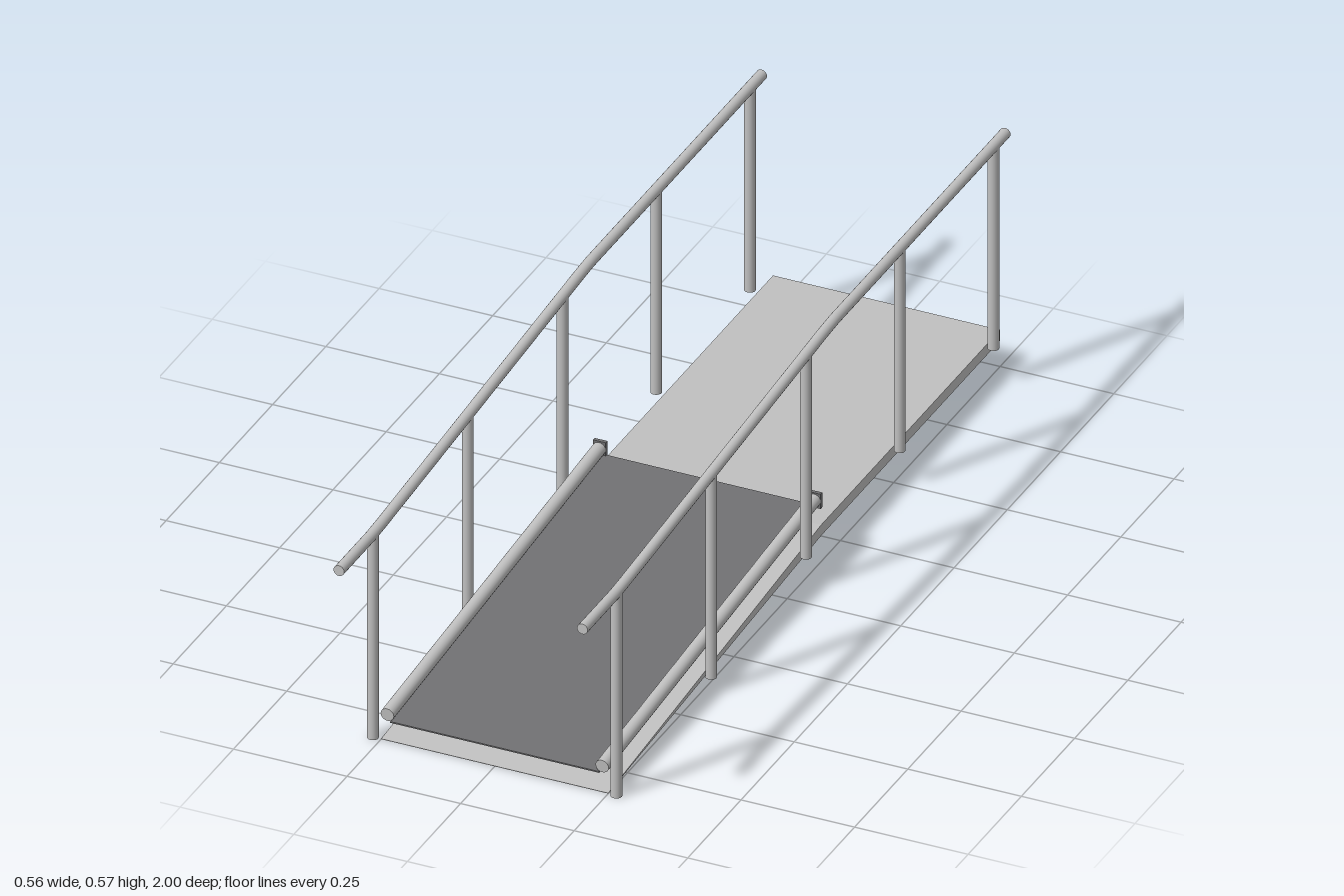
import * as THREE from 'three';

export function createModel() {
  const model = new THREE.Group();
  const metal = new THREE.MeshStandardMaterial({ color: 0xc0c0c0 });
  metal.name = 'light grey metal';
  const rubber = new THREE.MeshStandardMaterial({ color: 0x707072 });
  rubber.name = 'dark grey mat';

  const add = (name, geometry, material) => {
    const mesh = new THREE.Mesh(geometry, material);
    mesh.name = name;
    model.add(mesh);
    return mesh;
  };

  // Side profile of [z, y] points, extruded across the width and centred on x
  const slab = (points, width) => {
    const shape = new THREE.Shape(points.map(([z, y]) => new THREE.Vector2(z, y)));
    return new THREE.ExtrudeGeometry(shape, { depth: width, bevelEnabled: false })
      .translate(0, 0, -width / 2)
      .rotateY(-Math.PI / 2);
  };

  // Round bar between two points
  const bar = (a, b, radius) => {
    const dir = b.clone().sub(a);
    const geometry = new THREE.CylinderGeometry(radius, radius, dir.length(), 20);
    geometry.applyQuaternion(new THREE.Quaternion().setFromUnitVectors(
      new THREE.Vector3(0, 1, 0), dir.clone().normalize()));
    const mid = a.clone().add(b).multiplyScalar(0.5);
    return geometry.translate(mid.x, mid.y, mid.z);
  };

  // Level platform and the wedge-shaped ramp in front of it
  add('platform', slab([[-1, 0.06], [-0.16, 0.06], [-0.16, 0.085], [-1, 0.085]], 0.5), metal);
  add('ramp', slab([[-0.16, 0.06], [0.84, 0], [0.84, 0.001], [-0.16, 0.085]], 0.5), metal);

  // Raised sloping mat
  add('mat', slab([[-0.16, 0.124], [0.84, 0.043], [0.84, 0.046], [-0.16, 0.128]], 0.46), rubber);

  // Height of the handrail along its length: level, sloping, level
  const railPath = [[1, 0.472], [0.85, 0.472], [0.8, 0.475], [-0.13, 0.551], [-0.18, 0.554], [-0.985, 0.554]];
  const posts = [[0.84, 0, 0.472], [0.395, 0.036, 0.508], [-0.05, 0.075, 0.545],
    [-0.49, 0.085, 0.554], [-0.93, 0.085, 0.554]];
  const radius = 0.0118;

  for (const side of [1, -1]) {
    const label = side > 0 ? 'left' : 'right';
    const x = side * 0.268;

    // Edge roll beside the mat, with a square stop at its upper end
    add(label + 'EdgeRoll', bar(
      new THREE.Vector3(side * 0.2365, 0.06, 0.84),
      new THREE.Vector3(side * 0.2365, 0.142, -0.155), 0.0145), metal);
    add(label + 'EdgeStop', new THREE.BoxGeometry(0.028, 0.034, 0.008)
      .translate(side * 0.2365, 0.141, -0.16), rubber);

    // Handrail swept along straight segments
    const path = new THREE.CurvePath();
    for (let i = 1; i < railPath.length; i++) {
      const [z0, y0] = railPath[i - 1];
      const [z1, y1] = railPath[i];
      path.add(new THREE.LineCurve3(new THREE.Vector3(x, y0, z0), new THREE.Vector3(x, y1, z1)));
    }
    add(label + 'Handrail', new THREE.TubeGeometry(path, 120, radius, 20), metal);
    const ends = [railPath[0], railPath[railPath.length - 1]];
    ends.forEach(([z, y], i) => {
      const cap = add(label + 'HandrailCap', new THREE.CircleGeometry(radius, 20), metal);
      cap.position.set(x, y, z);
      cap.rotation.y = i * Math.PI;
    });

    // Upright posts
    for (const [z, bottom, top] of posts) {
      add(label + 'Post', bar(new THREE.Vector3(x, bottom, z), new THREE.Vector3(x, top, z), radius), metal);
    }
  }
  return model;
}
